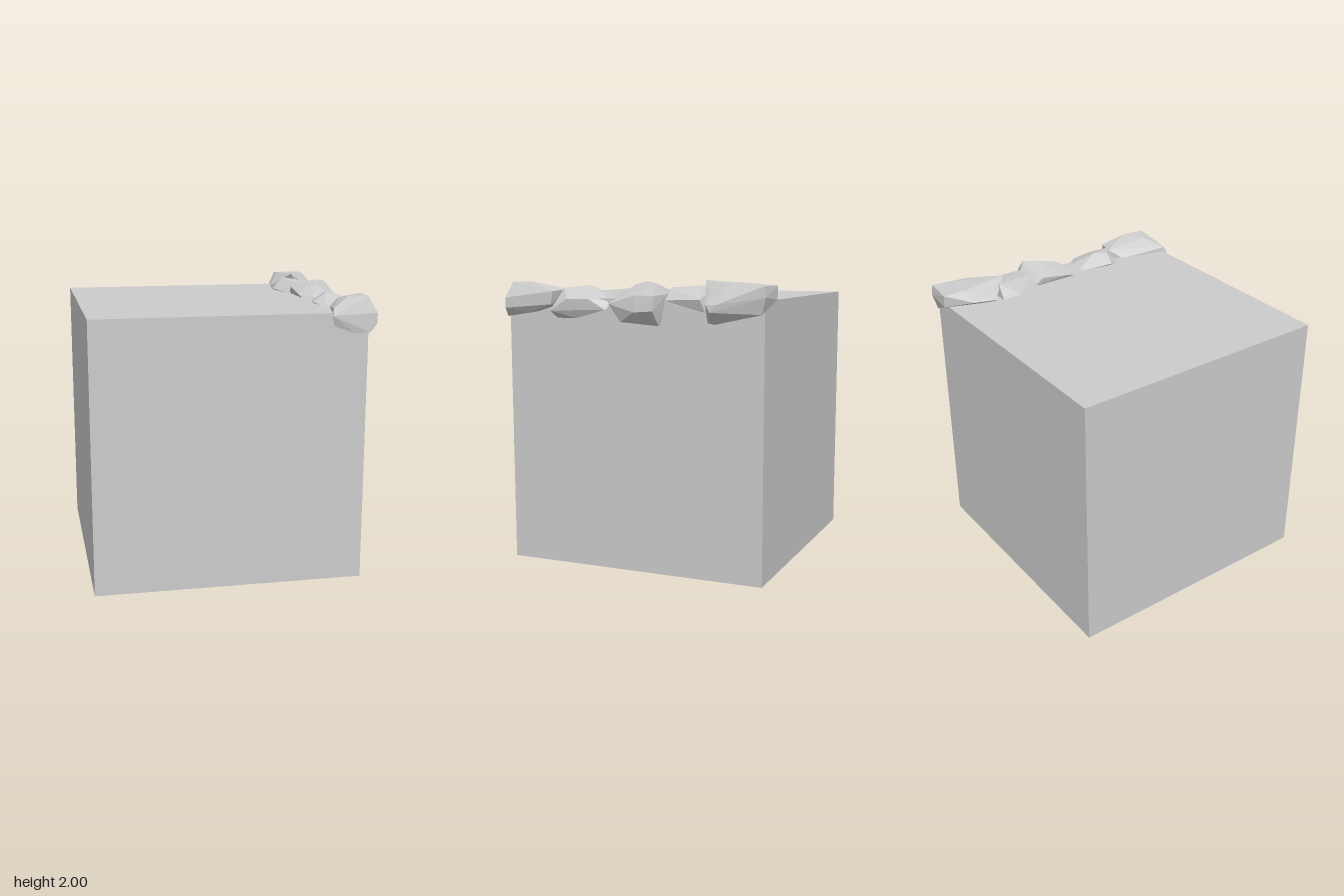
import * as THREE from 'three';
import { ConvexGeometry } from 'three/addons/geometries/ConvexGeometry.js';

const grey = new THREE.MeshStandardMaterial({ color: 0xcccccc, flatShading: true });

// Corner points [x, y, z] of each faceted stone, from front to back
const stones = {
  frontStone: [
    [0.62, 1.86, 0.97], [0.63, 1.91, 0.95], [0.64, 1.79, 0.95], [0.78, 1.74, 0.95],
    [0.89, 1.74, 0.95], [0.94, 1.80, 0.94], [0.94, 1.87, 0.94], [0.88, 1.98, 0.91],
    [0.76, 1.97, 0.84], [0.89, 1.98, 0.73], [0.94, 1.92, 0.56], [0.80, 1.93, 0.52],
    [0.71, 1.87, 0.60], [0.94, 1.83, 0.58], [0.91, 1.77, 0.76], [0.76, 1.80, 0.56],
  ],
  secondStone: [
    [0.70, 1.86, 0.55], [0.64, 1.89, 0.44], [0.67, 1.88, 0.30], [0.72, 1.87, 0.18],
    [0.86, 1.85, 0.14], [0.91, 1.80, 0.18], [0.83, 1.94, 0.53], [0.72, 1.95, 0.45],
    [0.76, 1.96, 0.36], [0.94, 1.87, 0.29], [0.97, 1.87, 0.44], [0.98, 1.79, 0.56],
    [0.93, 1.74, 0.53], [0.92, 1.74, 0.39], [0.80, 1.76, 0.40],
  ],
  middleStone: [
    [0.67, 1.85, 0.18], [0.65, 1.90, 0.02], [0.65, 1.93, -0.18], [0.66, 1.88, -0.25],
    [0.86, 1.91, -0.26], [0.97, 1.90, -0.21], [0.98, 1.80, -0.20], [0.90, 1.84, 0.16],
    [0.72, 1.89, 0.17], [0.79, 1.97, 0.00], [0.79, 1.99, -0.08], [0.91, 1.98, -0.20],
    [0.95, 1.90, -0.06], [0.90, 1.72, 0.07], [0.90, 1.70, -0.21], [0.97, 1.79, -0.06],
    [0.76, 1.75, -0.10],
  ],
  fourthStone: [
    [0.59, 1.88, -0.56], [0.58, 1.89, -0.43], [0.65, 1.87, -0.22], [0.72, 1.95, -0.25],
    [0.67, 1.96, -0.47], [0.67, 1.97, -0.55], [0.84, 1.95, -0.28], [0.86, 1.94, -0.50],
    [0.91, 1.87, -0.26], [0.95, 1.88, -0.52], [0.93, 1.80, -0.55], [0.75, 1.80, -0.40],
  ],
  backStone: [
    [0.72, 1.97, -0.97], [0.73, 1.88, -0.97], [0.94, 1.97, -0.95], [0.94, 1.90, -0.96],
    [0.92, 1.79, -0.93], [0.63, 1.90, -0.78], [0.60, 1.89, -0.62], [0.70, 1.98, -0.82],
    [0.73, 2.00, -0.48], [0.89, 1.92, -0.57], [0.89, 1.98, -0.70], [0.98, 1.85, -0.64],
    [0.98, 1.80, -0.60], [0.96, 1.85, -0.56], [0.91, 1.73, -0.56], [0.91, 1.72, -0.61],
    [0.72, 1.80, -0.60],
  ],
};

export function createModel() {
  const model = new THREE.Group();
  model.name = 'blockWithStoneEdge';

  // Plain cube
  const block = new THREE.Mesh(new THREE.BoxGeometry(1.87, 1.875, 1.875), grey);
  block.position.set(-0.055, 0.9375, 0);
  block.name = 'block';
  model.add(block);

  // Row of rough stones along the top edge
  const row = new THREE.Group();
  row.name = 'stoneEdge';
  for (const [name, points] of Object.entries(stones)) {
    const geometry = new ConvexGeometry(points.map((p) => new THREE.Vector3(...p)));
    const stone = new THREE.Mesh(geometry, grey);
    stone.name = name;
    row.add(stone);
  }
  model.add(row);
  return model;
}
